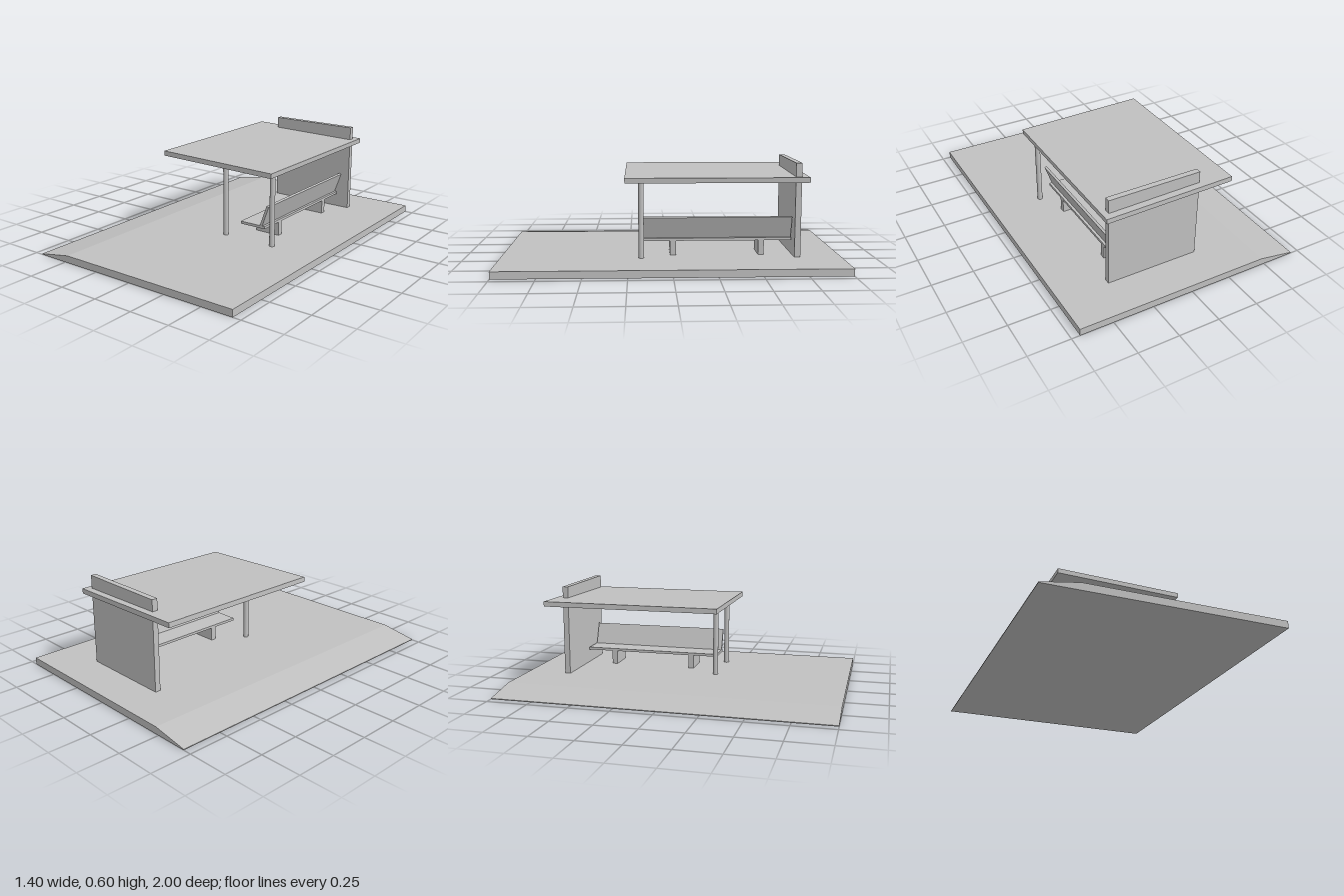
import * as THREE from 'three';

const concrete = new THREE.MeshStandardMaterial({ color: 0xc0c0c0 });
concrete.name = 'light grey';

export function createModel() {
  const model = new THREE.Group();
  model.name = 'shelter';

  const add = (name, geometry, x = 0, y = 0, z = 0) => {
    const mesh = new THREE.Mesh(geometry, concrete);
    mesh.name = name;
    mesh.position.set(x, y, z);
    model.add(mesh);
  };

  // Box given by its limits on each axis
  const box = (name, x0, x1, y0, y1, z0, z1) =>
    add(name, new THREE.BoxGeometry(x1 - x0, y1 - y0, z1 - z0),
      (x0 + x1) / 2, (y0 + y1) / 2, (z0 + z1) / 2);

  // Side profile in x and y, drawn out along z
  const profile = (name, points, z0, z1) => {
    const shape = new THREE.Shape(points.map(([x, y]) => new THREE.Vector2(x, y)));
    add(name, new THREE.ExtrudeGeometry(shape, { depth: z1 - z0, bevelEnabled: false }), 0, 0, z0);
  };

  // Platform with a ramp along its right edge
  profile('platform', [[-0.7, 0], [0.7, 0], [0.7, 0.043], [-0.48, 0.043], [-0.7, 0.005]], -1, 1);

  // Gently sloping roof and the strip beneath it
  profile('roof', [[-0.366, 0.502], [0.43, 0.487], [0.432, 0.517], [-0.365, 0.532]], -0.8, 0.27);
  box('roofStrip', 0.01, 0.18, 0.489, 0.5, -0.72, 0.19);

  // Rear wall rising through the roof
  box('rearWall', -0.176, 0.397, 0.043, 0.598, -0.757, -0.722);

  // Round front posts
  for (const x of [0.041, 0.38]) {
    add('frontPost', new THREE.CylinderGeometry(0.016, 0.016, 0.455, 24), x, 0.2705, 0.176);
  }

  // Bench with a leaning backrest on two slab legs
  box('seat', 0.143, 0.316, 0.13, 0.146, -0.715, 0.162);
  profile('backrest', [[0.282, 0.145], [0.299, 0.145], [0.345, 0.273], [0.33, 0.278]], -0.715, 0.162);
  for (const z of [-0.537, -0.013]) {
    box('benchLeg', 0.149, 0.314, 0.043, 0.131, z - 0.017, z + 0.017);
  }

  return model;
}
